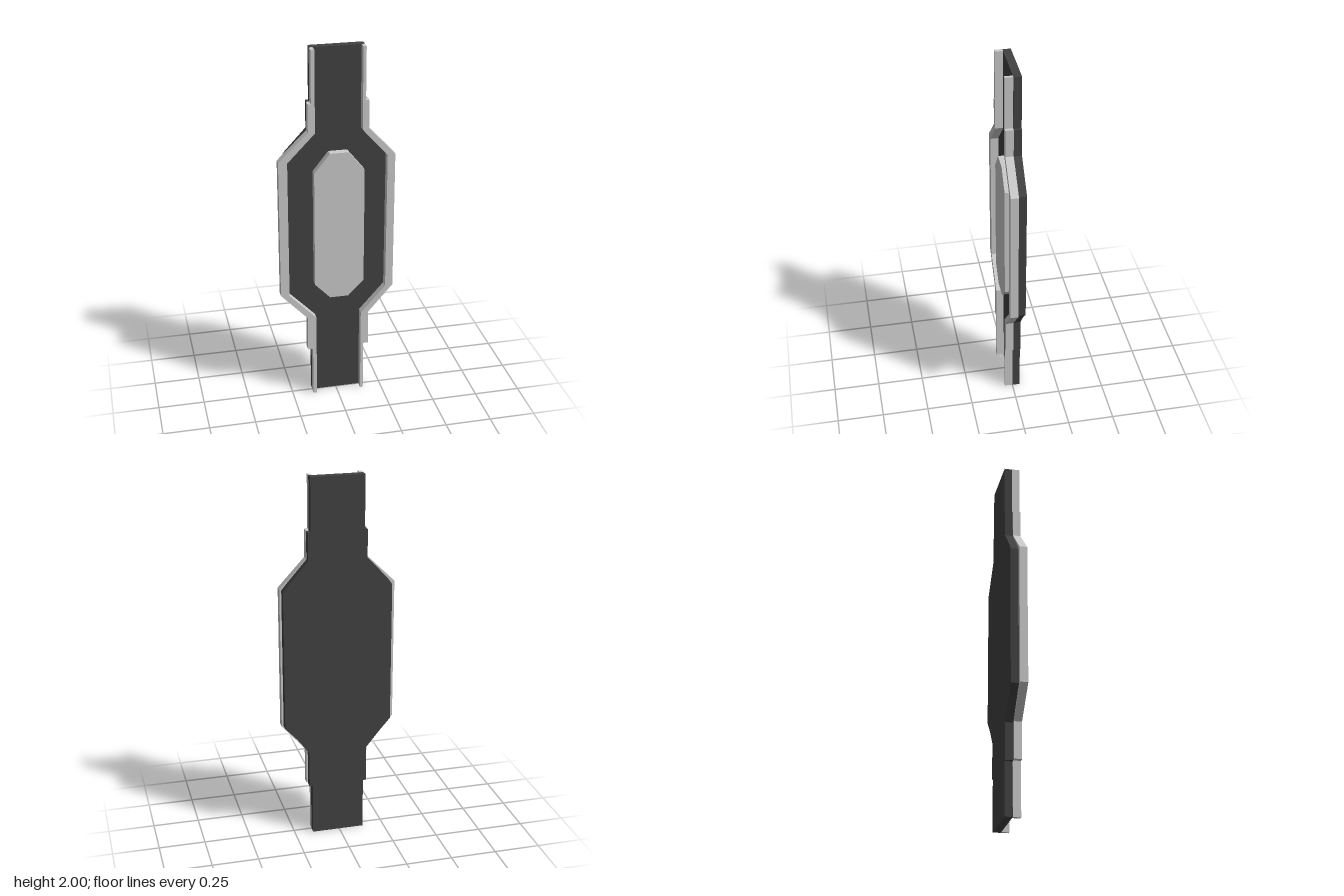
import * as THREE from 'three';

const THICK = 0.042;
const grey = new THREE.MeshStandardMaterial({ color: 0xcccccc });
const asphalt = new THREE.MeshStandardMaterial({ color: 0x424242 });

// Flat slab cut from an outline in x, y and given thickness along z
function slab(name, points, z, material) {
  const shape = new THREE.Shape(points.map(([x, y]) => new THREE.Vector2(x, y)));
  const geometry = new THREE.ExtrudeGeometry(shape, { depth: THICK, bevelEnabled: false });
  const mesh = new THREE.Mesh(geometry, material);
  mesh.name = name;
  mesh.position.z = z;
  return mesh;
}

export function createModel() {
  const model = new THREE.Group();
  model.name = 'dividedRoad';

  // Road bed: narrow ends, stepped shoulders, wide chamfered middle
  const rightEdge = [
    [-0.135, 2], [-0.135, 1.715], [-0.15, 1.715], [-0.15, 1.565], [-0.26, 1.445], [-0.285, 1.41],
    [-0.285, 0.645], [-0.22, 0.57], [-0.152, 0.485], [-0.152, 0.285], [-0.135, 0.285], [-0.135, 0],
  ];
  const leftEdge = [
    [0.15, 0], [0.15, 0.285], [0.167, 0.285], [0.167, 0.485], [0.232, 0.574], [0.298, 0.645],
    [0.298, 1.41], [0.265, 1.45], [0.164, 1.565], [0.164, 1.715], [0.15, 1.715], [0.15, 2],
  ];
  model.add(slab('roadBed', [...rightEdge, ...leftEdge], -THICK, asphalt));

  // Raised kerbs along both sides; each side has its own x stations
  const kerbs = [
    { name: 'rightKerb', end: -0.137, top: -0.154, low: -0.165, wide: -0.31, inner: -0.117, innerWide: -0.263 },
    { name: 'leftKerb', end: 0.148, top: 0.166, low: 0.174, wide: 0.308, inner: 0.132, innerWide: 0.267 },
  ];
  for (const k of kerbs) {
    model.add(slab(k.name, [
      [k.end, 2], [k.end, 1.718], [k.top, 1.718], [k.top, 1.567], [k.wide, 1.413], [k.wide, 0.643],
      [k.low, 0.488], [k.low, 0.29], [k.end, 0.29], [k.end, 0],
      [k.inner, 0], [k.inner, 0.486], [k.innerWide, 0.638], [k.innerWide, 1.408], [k.inner, 1.56], [k.inner, 2],
    ], 0, grey));
  }

  // Raised eight-sided island in the middle
  model.add(slab('centralIsland', [
    [-0.04, 1.442], [-0.123, 1.337], [-0.123, 0.69], [-0.04, 0.603],
    [0.06, 0.603], [0.145, 0.69], [0.145, 1.337], [0.06, 1.442],
  ], 0, grey));

  return model;
}
